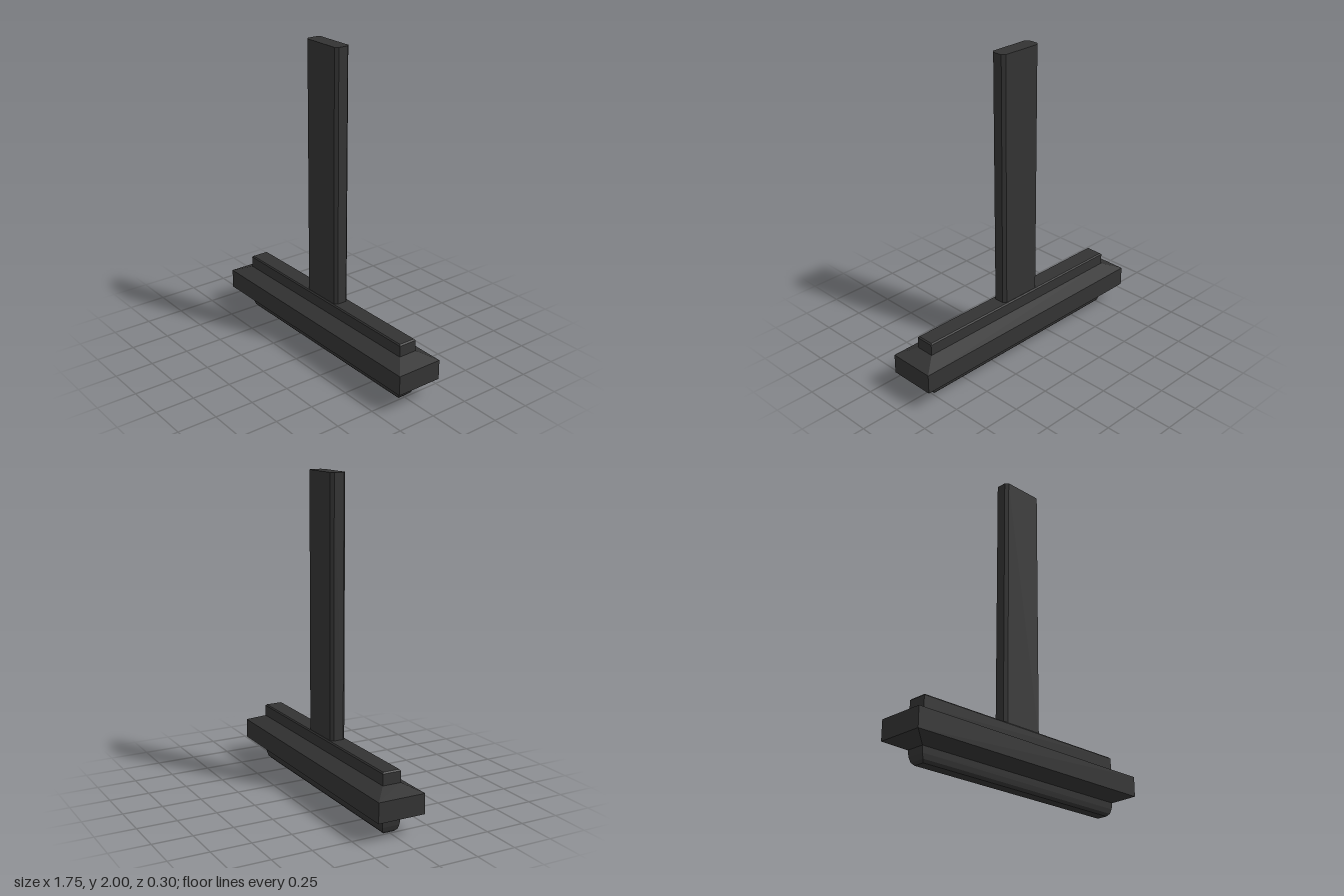
import * as THREE from 'three';

const material = new THREE.MeshStandardMaterial({ color: 0x333333, flatShading: true });

// Stack of rectangles [y, halfX, halfZ], joined by flat sides and capped
function stackedBlock(rings) {
  const pos = [];
  const corners = ([y, x, z]) => [[-x, y, z], [x, y, z], [x, y, -z], [-x, y, -z]];
  const quad = (a, b, c, d) => pos.push(...a, ...b, ...c, ...a, ...c, ...d);
  for (let i = 0; i < rings.length - 1; i++) {
    const lo = corners(rings[i]), hi = corners(rings[i + 1]);
    for (let k = 0; k < 4; k++) {
      const n = (k + 1) % 4;
      quad(lo[k], lo[n], hi[n], hi[k]);
    }
  }
  quad(...corners(rings[0]).reverse());
  quad(...corners(rings[rings.length - 1]));
  const geometry = new THREE.BufferGeometry();
  geometry.setAttribute('position', new THREE.Float32BufferAttribute(pos, 3));
  geometry.computeVertexNormals();
  return geometry;
}

// Upright bar with chamfered vertical corners
function chamferedBar(halfX, halfZ, c, y0, y1) {
  const outline = [
    [halfX - c, -halfZ], [halfX, c - halfZ], [halfX, halfZ - c], [halfX - c, halfZ],
    [c - halfX, halfZ], [-halfX, halfZ - c], [-halfX, c - halfZ], [c - halfX, -halfZ],
  ].map(([x, z]) => new THREE.Vector2(x, z));
  const geometry = new THREE.ExtrudeGeometry(new THREE.Shape(outline), { depth: y1 - y0, bevelEnabled: false });
  return geometry.rotateX(-Math.PI / 2).translate(0, y0, 0);
}

function addPart(group, name, geometry) {
  const mesh = new THREE.Mesh(geometry, material);
  mesh.name = name;
  group.add(mesh);
}

export function createModel() {
  const group = new THREE.Group();
  group.name = 'barAndUpright';

  // Long crossbar: tapered foot, wide middle band, narrow top rail
  addPart(group, 'crossbar', stackedBlock([
    [0, 0.735, 0.035],
    [0.016, 0.75, 0.05],
    [0.045, 0.76, 0.057],
    [0.085, 0.765, 0.06],
    [0.13, 0.875, 0.152],
    [0.255, 0.875, 0.152],
    [0.3, 0.765, 0.06],
    [0.37, 0.765, 0.06],
    [0.378, 0.757, 0.053],
  ]));

  // Flat upright standing on the crossbar
  addPart(group, 'upright', chamferedBar(0.146, 0.05, 0.018, 0.36, 2));

  return group;
}
